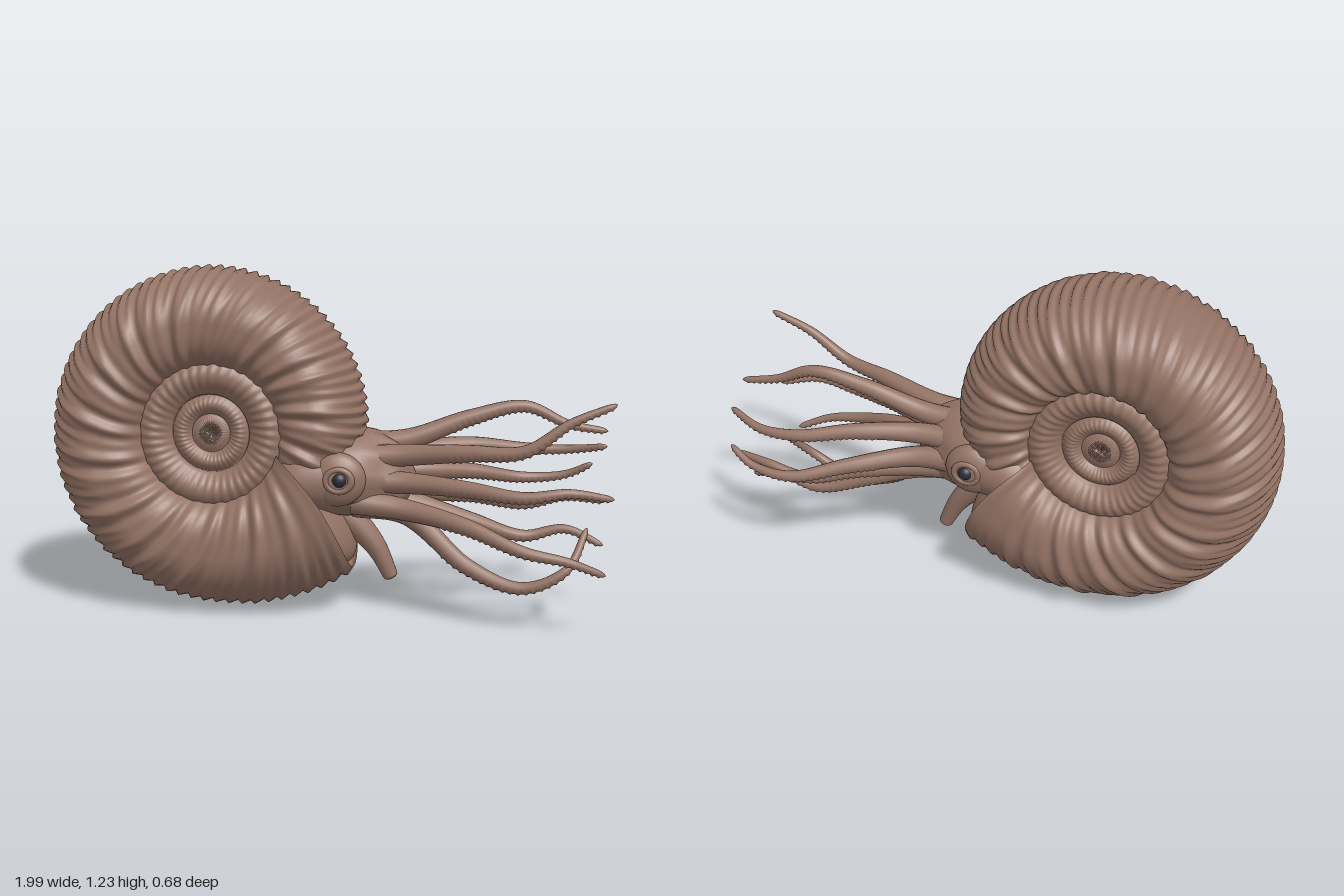
import * as THREE from 'three';

const TAU = Math.PI * 2;
const CX = -0.4, CY = 0.645; // coil axis

// Linear interpolation in column c of [key, value...] rows
function keyed(rows, t, c = 1) {
  let i = 0;
  while (i < rows.length - 2 && t > rows[i + 1][0]) i++;
  const a = rows[i], b = rows[i + 1];
  return THREE.MathUtils.lerp(a[c], b[c], THREE.MathUtils.clamp((t - a[0]) / (b[0] - a[0]), 0, 1));
}

// Surface from cross-section loops: point(i, j) returns [x, y, z]; loops close in j
function loft(rows, cols, point) {
  const pos = [], index = [];
  for (let i = 0; i <= rows; i++) for (let j = 0; j < cols; j++) pos.push(...point(i, j));
  for (let i = 0; i < rows; i++) for (let j = 0; j < cols; j++) {
    const k = (j + 1) % cols, a = i * cols, b = a + cols;
    index.push(a + j, a + k, b + j, a + k, b + k, b + j);
  }
  const g = new THREE.BufferGeometry();
  g.setAttribute('position', new THREE.Float32BufferAttribute(pos, 3));
  g.setIndex(index);
  g.computeVertexNormals();
  return g;
}

// Outer whorl: turns back from the aperture, outer radius, half width
const WHORL = [
  [0, 0.705, 0.268], [0.06, 0.665, 0.27], [0.125, 0.635, 0.266], [0.375, 0.592, 0.255], [0.625, 0.572, 0.248],
  [0.875, 0.532, 0.228], [0.93, 0.49, 0.21], [1.12, 0.26, 0.08],
];
function whorlGeometry() {
  const inner = 0.22, cols = 48, perTurn = 336;
  return loft(Math.round(1.12 * perTurn), cols, (i, j) => {
    const t = i / perTurn, s = (j / cols) * TAU;
    const R = keyed(WHORL, t), hw = keyed(WHORL, t, 2);
    const c = Math.cos(s), d = Math.sin(s), n = c > 0 ? 1.95 : 2.8;
    const sp = v => Math.sign(v) * Math.abs(v) ** (2 / n);
    const tooth = ((i % 4) / 3 - 0.5) * 0.015 * Math.sqrt(Math.max(0, c)); // keel serration
    const rib = Math.sin(TAU * 25 * t) + 0.7 * Math.sin(TAU * 41 * t + 1 + Math.sign(d)); // flank ribs
    const r = (R + inner) / 2 + sp(c) * (R - inner) / 2 + tooth;
    const z = sp(d) * (hw + rib * (0.003 + 0.004 * THREE.MathUtils.smoothstep(t, 0, 0.12)));
    const u = (1 + sp(c)) / 2;
    const sweep = 0.085 - 0.05 * THREE.MathUtils.smoothstep(t, 0, 0.5);
    const a = TAU * (0.875 - t + sweep * (1 - u)); // edge sweeps forward near the coil
    return [CX + r * Math.cos(a), CY + r * Math.sin(a), z];
  });
}

// Inner whorls in the hollow of the coil: start radius, end radius, seam depth, bulge
const RINGS = [[0, 0.068, 0.13, 0.012], [0.068, 0.138, 0.132, 0.024], [0.138, 0.275, 0.142, 0.042]];
function hollowGeometry(side) {
  const steps = 16;
  return loft(RINGS.length * steps - 1, 168, (i, j) => {
    const [r0, r1, depth, bulge] = RINGS[Math.floor(i / steps)];
    const k = (i % steps) / (steps - 1), r = r0 + (r1 - r0) * k, a = (j / 168) * TAU;
    const arch = Math.sin(Math.PI * k) * bulge;
    const z = depth + arch * (1 + 0.07 * Math.cos(42 * a + r * 25));
    return [CX + r * Math.cos(a), CY + r * Math.sin(a), side * z];
  });
}

// Head: x, centre height, half height, half width
const HEAD = [
  [-0.27, 0.42, 0.02, 0.02], [-0.22, 0.43, 0.15, 0.15], [-0.12, 0.48, 0.14, 0.22], [-0.03, 0.49, 0.15, 0.225],
  [0.06, 0.495, 0.155, 0.205], [0.13, 0.495, 0.157, 0.18], [0.2, 0.49, 0.142, 0.138], [0.27, 0.485, 0.1, 0.1],
  [0.315, 0.48, 0.001, 0.001],
];
function headGeometry() {
  const curve = c => new THREE.CatmullRomCurve3(HEAD.map(h => new THREE.Vector3(h[0], h[1], h[c])));
  const high = curve(2), wide = curve(3);
  return loft(40, 40, (i, j) => {
    const p = high.getPoint(i / 40), w = wide.getPoint(i / 40).z, a = (j / 40) * TAU;
    const fold = 1 + 0.035 * Math.cos(10 * a) * THREE.MathUtils.smoothstep(p.x, 0.08, 0.22);
    return [p.x, p.y + p.z * Math.sin(a) * fold, w * Math.cos(a) * fold];
  });
}

// Tapered arm along a path, with small sucker bumps on the underside and a rounded tip
function armGeometry(points, r0, r1, bump) {
  const curve = new THREE.CatmullRomCurve3(points.map(p => new THREE.Vector3(...p)));
  const rows = 120, cols = 14, up = new THREE.Vector3(0, 1, 0);
  return loft(rows, cols, (i, j) => {
    const t = i / rows, p = curve.getPointAt(t), tan = curve.getTangentAt(t);
    const side = new THREE.Vector3().crossVectors(tan, up).normalize();
    const top = new THREE.Vector3().crossVectors(side, tan);
    const a = (j / cols) * TAU, under = Math.max(0, -Math.sin(a));
    let r = r1 + (r0 - r1) * (1 - t) ** 1.15;
    if (i % 3 === 0 && t > 0.35) r += bump * under;
    r *= Math.sqrt(1.0001 - Math.max(0, (t - 0.96) / 0.04) ** 2);
    p.addScaledVector(side, Math.cos(a) * r).addScaledVector(top, Math.sin(a) * r);
    return [p.x, p.y, p.z];
  });
}

// Arms: sideways reach, tip z, tip x, then heights from root to tip
const ARMS = [
  [0.21, 0.2, 0.99, 0.575, 0.6, 0.62, 0.72, 0.785],
  [-0.08, -0.09, 0.98, 0.61, 0.69, 0.73, 0.67, 0.645],
  [-0.24, -0.18, 0.985, 0.56, 0.57, 0.55, 0.55, 0.575],
  [-0.32, -0.29, 0.94, 0.48, 0.46, 0.425, 0.44, 0.49],
  [-0.21, -0.17, 0.985, 0.41, 0.39, 0.35, 0.38, 0.375],
  [-0.12, -0.09, 0.975, 0.38, 0.31, 0.25, 0.28, 0.23],
  [0.15, 0.06, 0.91, 0.36, 0.19, 0.13, 0.2, 0.33],
  [0.31, 0.28, 0.965, 0.39, 0.36, 0.3, 0.27, 0.22],
  [0.25, 0.21, 0.99, 0.48, 0.48, 0.47, 0.49, 0.465],
];
function armPath([reach, tipZ, tipX, ...heights]) {
  const xs = [0.28, 0.5, 0.69, 0.84, tipX], spread = [0.42, 0.75, 1, 1];
  const path = heights.map((y, i) => [xs[i], y, i < 4 ? reach * spread[i] : tipZ]);
  return [[0.1, heights[0] * 0.8 + 0.1, reach * 0.38], ...path];
}

export function createModel() {
  const model = new THREE.Group();
  const flesh = new THREE.MeshStandardMaterial({ color: 0x947365, side: THREE.DoubleSide });
  flesh.name = 'warm brown';
  const pupil = new THREE.MeshStandardMaterial({ color: 0x2b303a });
  pupil.name = 'dark slate';
  const add = (name, geometry, material = flesh) => {
    const m = new THREE.Mesh(geometry, material);
    m.name = name;
    model.add(m);
    return m;
  };

  add('outerWhorl', whorlGeometry());
  add('head', headGeometry());
  ARMS.forEach((arm, i) => add('arm' + (i + 1), armGeometry(armPath(arm), 0.046, 0.011, 0.005)));
  add('funnel', armGeometry([[0, 0.38, 0], [0.1, 0.3, 0], [0.17, 0.22, 0], [0.228, 0.105, 0]], 0.065, 0.026, 0));

  // Soft body filling the aperture behind the lip
  const mantle = add('mantle', new THREE.SphereGeometry(1, 40, 28));
  mantle.scale.set(0.09, 0.19, 0.235);
  mantle.rotation.z = Math.PI / 5;
  mantle.position.set(-0.035, 0.325, 0);

  for (const side of [1, -1]) {
    const label = side > 0 ? 'front' : 'back';
    add(label + 'InnerWhorls', hollowGeometry(side));

    // Eye with its mound and lids
    const mound = add(label + 'EyeMound', new THREE.SphereGeometry(1, 32, 20));
    mound.scale.set(0.1, 0.095, 0.05);
    mound.position.set(0.05, 0.5, side * 0.172);
    const lid = add(label + 'EyeLid', new THREE.TorusGeometry(0.038, 0.011, 12, 36));
    lid.scale.x = 1.15;
    lid.position.set(0.06, 0.503, side * 0.212);
    const eye = add(label + 'Eye', new THREE.SphereGeometry(0.027, 24, 16), pupil);
    eye.position.set(0.063, 0.505, side * 0.208);
  }
  return model;
}
